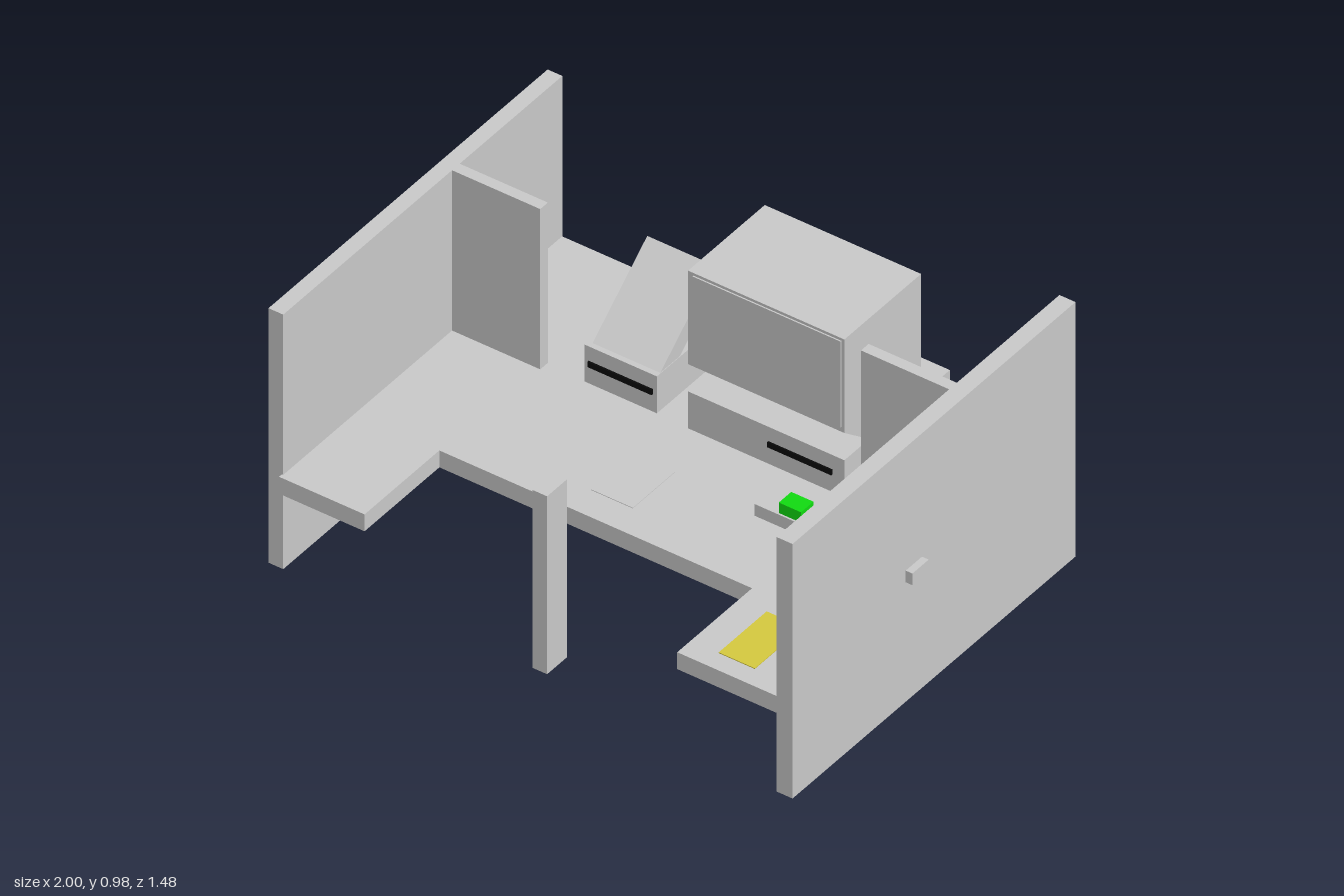
import * as THREE from 'three';

export function createModel() {
  const model = new THREE.Group();
  const mat = (color) => new THREE.MeshStandardMaterial({ color });
  const grey = mat(0xcccccc), black = mat(0x0a0a0a);

  const add = (name, geometry, material = grey) => {
    const mesh = new THREE.Mesh(geometry, material);
    mesh.name = name;
    model.add(mesh);
    return mesh;
  };
  // Box given by its limits on each axis
  const box = (name, [x0, x1], [y0, y1], [z0, z1], material) => {
    const geometry = new THREE.BoxGeometry(x1 - x0, y1 - y0, z1 - z0);
    geometry.translate((x0 + x1) / 2, (y0 + y1) / 2, (z0 + z1) / 2);
    return add(name, geometry, material);
  };
  const shape = (points) => new THREE.Shape(points.map(([a, b]) => new THREE.Vector2(a, b)));
  // Side profile of [z, y] points extruded along x
  const sideProfile = (name, points, x0, x1) => {
    const geometry = new THREE.ExtrudeGeometry(shape(points.map(([z, y]) => [-z, y])),
      { depth: x1 - x0, bevelEnabled: false });
    geometry.rotateY(Math.PI / 2).translate(x0, 0, 0);
    return add(name, geometry);
  };

  // Cubicle walls and the short dividers behind the wings
  box('rightWall', [-1, -0.945], [0, 0.98], [-0.74, 0.715]);
  box('leftWall', [0.915, 0.975], [0, 0.98], [-0.74, 0.735]);
  box('rightDivider', [-0.945, -0.615], [0, 0.98], [-0.205, -0.165]);
  box('leftDivider', [0.585, 0.915], [0, 0.98], [-0.205, -0.165]);

  // U-shaped desk top, drawn as [x, z]
  const desk = new THREE.ExtrudeGeometry(shape([
    [-0.95, -0.739], [0.915, -0.739], [0.915, 0.73], [0.54, 0.73],
    [0.54, 0.34], [-0.63, 0.34], [-0.63, 0.73], [-0.95, 0.73],
  ]), { depth: 0.065, bevelEnabled: false });
  desk.rotateX(Math.PI / 2).translate(0, 0.363, 0);
  add('deskTop', desk);

  // Computer: case, drive slot, monitor with sloped underside, screen
  box('computerCase', [-0.08, 0.505], [0.363, 0.505], [-0.74, -0.19]);
  box('computerSlot', [0.22, 0.46], [0.43, 0.45], [-0.2, -0.184], black);
  sideProfile('monitor', [
    [-0.59, 0.505], [-0.32, 0.505], [-0.19, 0.61], [-0.19, 0.97], [-0.59, 0.97],
  ], -0.08, 0.505);
  box('screen', [-0.06, 0.495], [0.63, 0.96], [-0.2, -0.185]);

  // Printer with slot and slanted feed tray
  box('printer', [-0.47, -0.2], [0.363, 0.505], [-0.555, -0.195]);
  box('printerSlot', [-0.455, -0.215], [0.43, 0.45], [-0.2, -0.188], black);
  sideProfile('paperTray', [
    [-0.213, 0.503], [-0.5, 0.738], [-0.541, 0.688], [-0.254, 0.453],
  ], -0.455, -0.202);

  // Arm through the wall, carrying two buttons
  box('buttonArm', [0.41, 1], [0.46, 0.505], [0.06, 0.145]);
  box('greenButton', [0.495, 0.578], [0.505, 0.545], [0.073, 0.138], mat(0x11dd11));
  box('redButton', [0.625, 0.71], [0.505, 0.55], [0.073, 0.138], mat(0xdd1111));

  // Sheets lying on the desk
  box('notePad', [0.645, 0.78], [0.36, 0.366], [0.41, 0.66], mat(0xd8cc40));
  box('mousePad', [-0.14, 0.015], [0.36, 0.365], [0.01, 0.23]);

  // Free-standing post in front of the desk
  box('post', [-0.045, 0.01], [0, 0.685], [0.565, 0.67]);

  return model;
}
